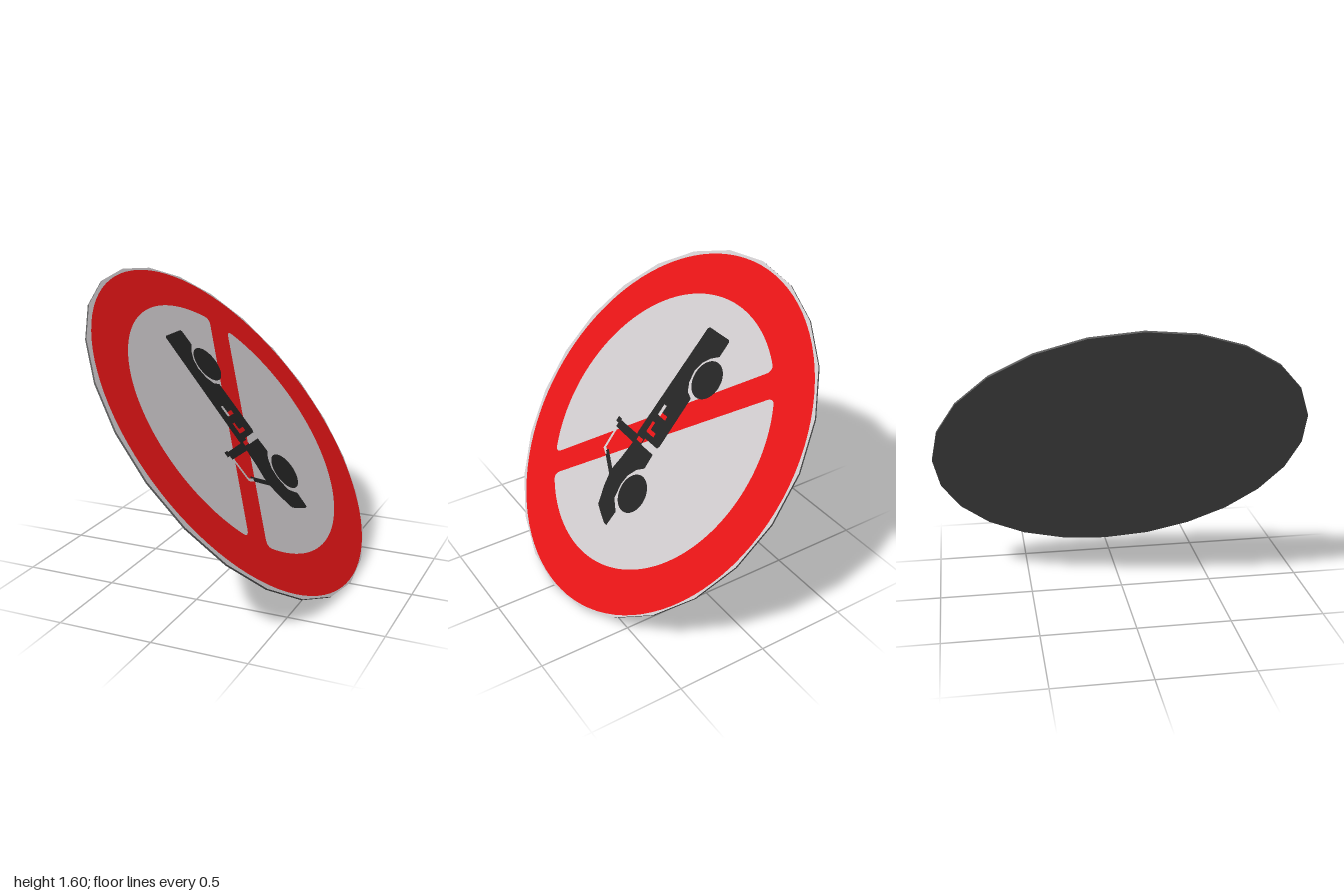
import * as THREE from 'three';

const paint = (name, color) => {
  const m = new THREE.MeshStandardMaterial({ color });
  m.name = name;
  return m;
};

export function createModel() {
  const red = paint('signalRed', 0xe21416);
  const light = paint('lightGrey', 0xcbc7c9);
  const dark = paint('charcoal', 0x232323);
  const metal = paint('backGrey', 0x5a5a5a);

  const sign = new THREE.Group();
  sign.name = 'roundSign';

  const add = (name, geometry, material, y = 0, z = 0) => {
    const mesh = new THREE.Mesh(geometry, material);
    mesh.name = name;
    mesh.position.set(0, y, z);
    sign.add(mesh);
  };
  const polygon = (pts) => new THREE.Shape(pts.map(([x, y]) => new THREE.Vector2(x, y)));
  // painted layer, set slightly down the slope
  const plate = (name, shape, material, z) =>
    add(name, new THREE.ShapeGeometry(shape, 48), material, -0.011, z);
  const ellipse = (x, y, rx, ry) =>
    new THREE.Shape().absellipse(x, y, rx, ry, 0, Math.PI * 2, false, 0);
  // straight painted stroke between two points
  const stroke = (name, [x1, y1], [x2, y2], w, material, z) => {
    const d = new THREE.Vector2(x2 - x1, y2 - y1).normalize().multiplyScalar(w / 2);
    plate(name, polygon([
      [x1 + d.y, y1 - d.x], [x2 + d.y, y2 - d.x], [x2 - d.y, y2 + d.x], [x1 - d.y, y1 + d.x],
    ]), material, z);
  };

  // Disc: light front, grey edge and back
  const T = 0.01;
  const disc = new THREE.CylinderGeometry(1, 1, T, 24).toNonIndexed();
  disc.rotateX(Math.PI / 2).scale(1, 1.037, 1);
  disc.computeVertexNormals();
  add('disc', disc, [metal, light, metal]);

  // Red ring and diagonal bar: an ellipse with two round-cornered openings
  const cx = 0.007, cy = 0.007, rx = 0.745, ry = 0.78;
  const ring = ellipse(cx, cy, 0.973, 1.018);
  const onRim = (deg) => {
    const t = deg * Math.PI / 180;
    return new THREE.Vector2(cx + rx * Math.cos(t), cy + ry * Math.sin(t));
  };
  for (const [from, to] of [[50.2, 218.9], [228.6, 399.3]]) {
    const a = onRim(from), b = onRim(to);
    const nearB = b.clone().lerp(a, 0.03), nearA = a.clone().lerp(b, 0.03);
    const arcStart = onRim(from + 3);
    const opening = new THREE.Path();
    opening.absellipse(cx, cy, rx, ry,
      (from + 3) * Math.PI / 180, (to - 3) * Math.PI / 180, false, 0);
    opening.quadraticCurveTo(b.x, b.y, nearB.x, nearB.y);
    opening.lineTo(nearA.x, nearA.y);
    opening.quadraticCurveTo(a.x, a.y, arcStart.x, arcStart.y);
    ring.holes.push(opening);
  }
  plate('prohibitionRing', ring, red, T / 2 + 0.002);

  // Vehicle silhouette, nose pointing down the slope
  const zCar = T / 2 + 0.004, zMark = T / 2 + 0.006;
  plate('rearBody', polygon([
    [-0.07, 0.6], [-0.06, 0.61], [0.11, 0.61], [0.12, 0.6], [0.12, 0.51], [0.07, 0.475],
    [0.035, 0.43], [0.02, 0.375], [0.033, 0.31], [0.063, 0.265], [0.11, 0.245],
    [0.11, -0.06], [0.1, -0.075], [-0.015, -0.075], [-0.015, -0.12], [-0.08, -0.12],
    [-0.09, -0.07],
  ]), dark, zCar);
  plate('frontBody', polygon([
    [-0.26, -0.085], [-0.08, -0.085], [-0.015, -0.115], [0.1, -0.115], [0.105, -0.2],
    [0.06, -0.235], [0.027, -0.29], [0.019, -0.35], [0.035, -0.43], [0.07, -0.46],
    [0.1, -0.48], [0.095, -0.57], [0.07, -0.57], [0.02, -0.55], [-0.045, -0.52],
    [-0.085, -0.42], [-0.107, -0.33], [-0.09, -0.235], [-0.08, -0.135], [-0.26, -0.13],
  ]), dark, zCar);
  plate('rearWheel', ellipse(0.135, 0.374, 0.1, 0.107), dark, zCar);
  plate('frontWheel', ellipse(0.13, -0.346, 0.1, 0.107), dark, zCar);
  stroke('rollBarTip', [-0.285, -0.092], [-0.25, -0.092], 0.03, dark, zCar);
  stroke('windscreenFrame', [-0.22, -0.265], [-0.09, -0.345], 0.028, dark, zCar);
  stroke('windscreenTop', [-0.25, -0.13], [-0.245, -0.265], 0.016, light, zCar);
  stroke('windscreenCorner', [-0.25, -0.26], [-0.205, -0.28], 0.018, light, zCar);

  // Door cut-outs that show the bar behind
  [[-0.02, 0.08], [-0.025, -0.03]].forEach(([x, y]) => {
    stroke('doorMark', [x, y], [x + 0.06, y], 0.024, red, zMark);
    stroke('doorMarkEnd', [x, y - 0.01], [x, y + 0.055], 0.022, y > 0 ? light : red, zMark);
  });
  stroke('doorGapMark', [-0.065, -0.098], [-0.02, -0.098], 0.024, red, zMark);

  // Lean the sign back, painted side facing +x and up
  const slope = new THREE.Vector3(-0.641, 0.767, 0).normalize();
  const across = new THREE.Vector3(0, 0, -1);
  sign.quaternion.setFromRotationMatrix(
    new THREE.Matrix4().makeBasis(across, slope, across.clone().cross(slope)));
  sign.position.y = 0.8;

  const model = new THREE.Group();
  model.name = 'tiltedRoadSign';
  model.add(sign);
  return model;
}
